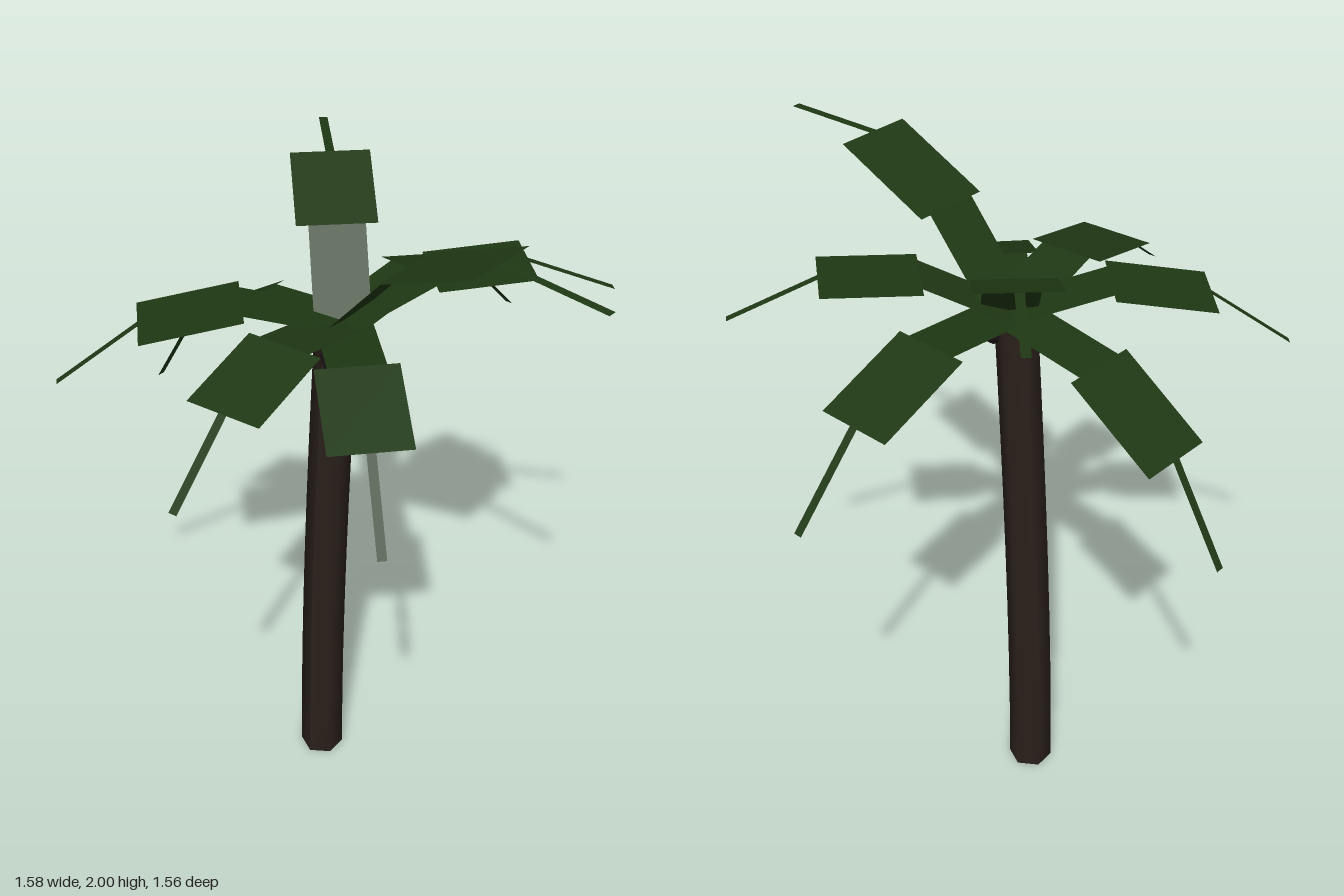
import * as THREE from 'three';

const TRUNK_HEIGHT = 1.64;
const CROWN = new THREE.Vector3(-0.045, TRUNK_HEIGHT, 0.027);
const BEND = THREE.MathUtils.degToRad(25.7); // droop from one leaf section to the next

const bark = new THREE.MeshStandardMaterial({ color: 0x2a201a });
const shell = new THREE.MeshStandardMaterial({ color: 0x1e1518, flatShading: true });
const leaf = new THREE.MeshStandardMaterial({ color: 0x1f3814, side: THREE.DoubleSide });

// Six-sided trunk, tapering a little and leaning over as it rises
function makeTrunk() {
  const geometry = new THREE.CylinderGeometry(0.06, 0.067, TRUNK_HEIGHT, 6, 8);
  geometry.translate(0, TRUNK_HEIGHT / 2, 0);
  const p = geometry.attributes.position;
  for (let i = 0; i < p.count; i++) {
    const t = Math.max(0, p.getY(i) / TRUNK_HEIGHT);
    p.setX(i, p.getX(i) - 0.137 + 0.077 * Math.pow(t, 1.5));
    p.setZ(i, p.getZ(i) + 0.035);
  }
  geometry.computeVertexNormals();
  const trunk = new THREE.Mesh(geometry, bark);
  trunk.name = 'trunk';
  return trunk;
}

// Frond of three flat sections: stalk, broad blade and thin tip
function makeFrond({ dx, dz, length, pitch }) {
  const frond = new THREE.Group();
  const sections = [['frondStalk', 0.157], ['frondBlade', 0.225], ['frondTip', 0.025]];
  let angle = THREE.MathUtils.degToRad(pitch);
  let y = 0, z = 0;
  for (const [name, width] of sections) {
    const geometry = new THREE.PlaneGeometry(width, length);
    geometry.rotateX(-Math.PI / 2).translate(0, 0, length / 2);
    const section = new THREE.Mesh(geometry, leaf);
    section.name = name;
    section.position.set(0, y, z);
    section.rotation.x = -angle;
    frond.add(section);
    y += Math.sin(angle) * length;
    z += Math.cos(angle) * length;
    angle -= BEND;
  }
  frond.name = 'frond';
  frond.position.copy(CROWN);
  frond.rotation.y = Math.atan2(dx, dz);
  return frond;
}

export function createModel() {
  const palm = new THREE.Group();
  palm.name = 'palmTree';
  palm.add(makeTrunk());

  // Eight fronds: heading, section length, starting pitch in degrees
  const fronds = [
    { dx: 0.83, dz: 0.078, length: 0.32, pitch: 48 },
    { dx: 0.48, dz: 0.508, length: 0.27, pitch: 5 },
    { dx: 0.027, dz: 0.748, length: 0.278, pitch: 13 },
    { dx: -0.58, dz: 0.528, length: 0.283, pitch: 16 },
    { dx: -0.74, dz: -0.067, length: 0.32, pitch: -7 },
    { dx: -0.44, dz: -0.517, length: 0.265, pitch: 48 },
    { dx: 0.06, dz: -0.807, length: 0.306, pitch: 5 },
    { dx: 0.535, dz: -0.537, length: 0.27, pitch: 28 },
  ];
  fronds.forEach((f) => palm.add(makeFrond(f)));

  // Coconuts tucked under the crown
  for (const [x, y, z] of [[0, 1.58, 0.1], [0, 1.585, 0.02]]) {
    const coconut = new THREE.Mesh(new THREE.IcosahedronGeometry(0.056, 1), shell);
    coconut.name = 'coconut';
    coconut.position.set(x, y, z);
    palm.add(coconut);
  }
  return palm;
}
